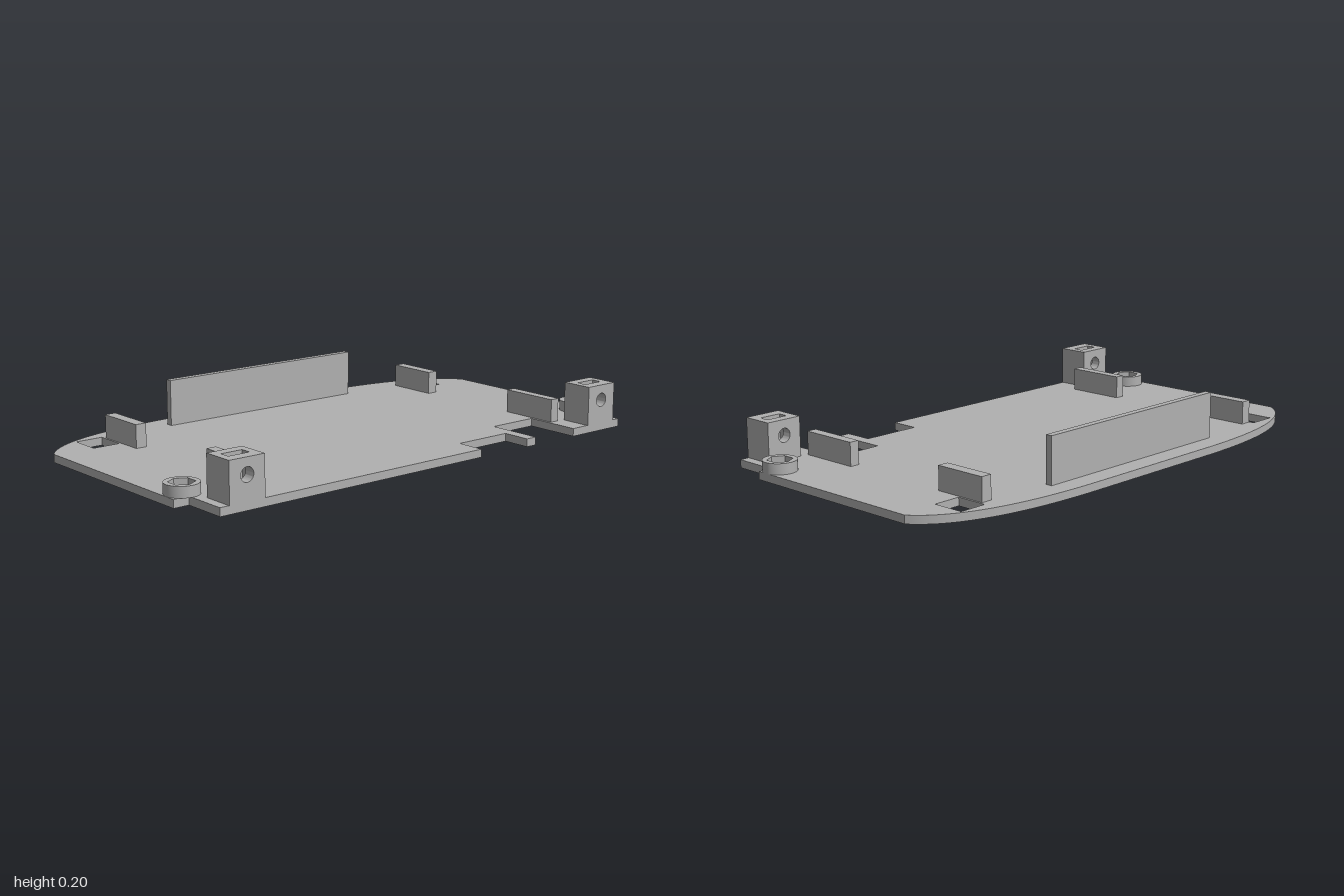
import * as THREE from 'three';
import { toCreasedNormals } from 'three/addons/utils/BufferGeometryUtils.js';

const PLATE = 0.03; // plate thickness

export function createModel() {
  const model = new THREE.Group();
  const grey = new THREE.MeshStandardMaterial({ color: 0xb0b0b0 });
  grey.name = 'grey plastic';

  const add = (name, geometry, parent = model) => {
    const mesh = new THREE.Mesh(geometry, grey);
    mesh.name = name;
    parent.add(mesh);
    return mesh;
  };
  const polygon = (points) => new THREE.Shape(points.map(([x, y]) => new THREE.Vector2(x, y)));
  const circle = (x, y, r) => new THREE.Path().absarc(x, y, r, 0, Math.PI * 2, true);
  const extrude = (shape, depth) => toCreasedNormals(
    new THREE.ExtrudeGeometry(shape, { depth, bevelEnabled: false, curveSegments: 24 }), 0.5);
  const box = (name, x0, x1, y0, y1, z0, z1) =>
    add(name, new THREE.BoxGeometry(x1 - x0, y1 - y0, z1 - z0))
      .position.set((x0 + x1) / 2, (y0 + y1) / 2, (z0 + z1) / 2);

  // Base plate, drawn as (x, -z): notched right edge, bowed left edge
  const plate = polygon([
    [-0.36, -1], [0.385, -1], [0.385, -0.94], [0.555, -0.94], [0.555, 0.21],
    [0.445, 0.21], [0.445, 0.445], [0.555, 0.445], [0.555, 0.49], [0.34, 0.49],
    [0.34, 0.695], [0.555, 0.695], [0.555, 0.95], [0.385, 0.95], [0.385, 1], [-0.36, 1],
  ]);
  plate.bezierCurveTo(-0.5, 0.91, -0.56, 0.66, -0.56, 0.3);
  plate.lineTo(-0.56, -0.3);
  plate.bezierCurveTo(-0.56, -0.66, -0.5, -0.91, -0.36, -1);
  // Square openings and screw holes
  for (const [a, b] of [[0.745, 0.852], [-0.845, -0.737]]) {
    plate.holes.push(polygon([[-0.465, a], [-0.465, b], [-0.345, b], [-0.345, a]]));
  }
  const bossZ = [-0.94, 0.937];
  for (const z of bossZ) plate.holes.push(circle(0.342, -z, 0.026));
  add('basePlate', extrude(plate, PLATE).rotateX(-Math.PI / 2));

  // Round screw bosses with hexagonal nut recess
  for (const z of bossZ) {
    const ring = new THREE.Shape().absarc(0, 0, 0.062, 0, Math.PI * 2);
    const hex = Array.from({ length: 6 }, (_, i) => {
      const a = -i * Math.PI / 3;
      return [0.046 * Math.cos(a), 0.046 * Math.sin(a)];
    });
    ring.holes.push(polygon(hex));
    add('screwBoss', extrude(ring, 0.04).rotateX(-Math.PI / 2)).position.set(0.342, PLATE, z);
  }

  // Mounting blocks: pierced walls either side of a nut slot open at the top
  const H = 0.178, W = 0.071, SLOT = 0.042, HOLE = 0.12, FLOOR = 0.075;
  for (const z of [-0.843, 0.834]) {
    const block = new THREE.Group();
    block.name = 'mountingBlock';
    block.position.z = z;
    model.add(block);
    const wall = polygon([[-W, PLATE], [W, PLATE], [W, H], [-W, H]]);
    wall.holes.push(circle(0, HOLE, 0.026));
    const slot = polygon([[-W, PLATE], [W, PLATE], [W, H], [SLOT, H],
      [SLOT, FLOOR], [-SLOT, FLOOR], [-SLOT, H], [-W, H]]);
    for (const [name, shape, x0, x1] of [
      ['innerWall', wall, 0.436, 0.475],
      ['slotSides', slot, 0.475, 0.514],
      ['outerWall', wall, 0.514, 0.558],
    ]) {
      add(name, extrude(shape, x1 - x0).rotateY(Math.PI / 2), block).position.x = x0;
    }
  }

  // Upright ribs near the four corners
  box('leftBackRib', -0.446, -0.242, PLATE, 0.118, -0.738, -0.695);
  box('leftFrontRib', -0.446, -0.242, PLATE, 0.118, 0.688, 0.731);
  box('rightBackRib', 0.197, 0.431, PLATE, 0.118, -0.743, -0.705);
  box('rightFrontRib', 0.197, 0.431, PLATE, 0.118, 0.697, 0.736);

  // Long tall wall along the bowed edge
  box('longWall', -0.479, -0.453, PLATE, 0.204, -0.44, 0.437);

  return model;
}
